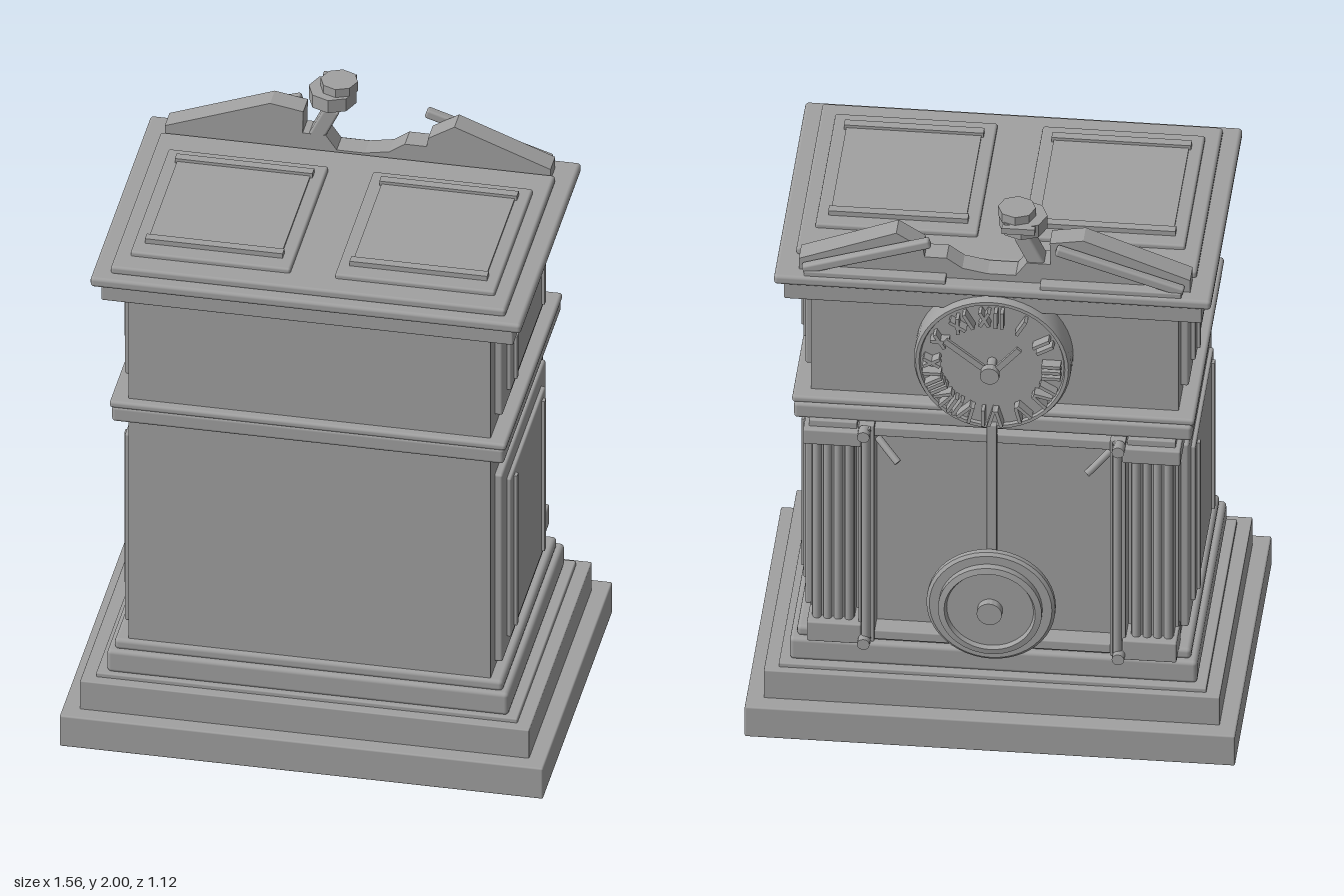
import * as THREE from 'three';
import { toCreasedNormals } from 'three/addons/utils/BufferGeometryUtils.js';
import { RoundedBoxGeometry } from 'three/addons/geometries/RoundedBoxGeometry.js';

export function createModel() {
  const root = new THREE.Group();
  root.name = 'mantelClock';
  const stone = new THREE.MeshStandardMaterial({ color: 0xa0a0a0 });
  stone.name = 'grey stone';

  const add = (name, geo, parent = root) => {
    const m = new THREE.Mesh(geo, stone);
    m.name = name;
    parent.add(m);
    return m;
  };
  const group = (name, parent = root) => {
    const g = new THREE.Group();
    g.name = name;
    parent.add(g);
    return g;
  };
  // Box from its limits, with softly rounded edges when r > 0
  const box = (name, [x0, x1], [y0, y1], [z0, z1], r = 0.005, parent = root) => {
    const s = [x1 - x0, y1 - y0, z1 - z0];
    const m = add(name, r ? new RoundedBoxGeometry(...s, 2, r) : new THREE.BoxGeometry(...s), parent);
    m.position.set((x0 + x1) / 2, (y0 + y1) / 2, (z0 + z1) / 2);
    return m;
  };
  // Cylinder between two points
  const rod = (name, a, b, r, sides = 12, parent = root) => {
    const p = new THREE.Vector3(...a), q = new THREE.Vector3(...b), d = q.clone().sub(p);
    const m = add(name, new THREE.CylinderGeometry(r, r, d.length(), sides), parent);
    m.position.copy(p).add(q).multiplyScalar(0.5);
    m.quaternion.setFromUnitVectors(new THREE.Vector3(0, 1, 0), d.normalize());
    return m;
  };
  // Round part turned about an axis pointing to -z; profile is [radius, distance out]
  const turned = (name, y, z, profile, parent = root) => {
    const pts = profile.map(([r, h]) => new THREE.Vector2(r, h));
    const m = add(name, toCreasedNormals(new THREE.LatheGeometry(pts, 48), 0.6), parent);
    m.rotation.x = -Math.PI / 2;
    m.position.set(0, y, z);
    return m;
  };

  // Stacked case: half width, y range, z range, edge radius
  const layers = [
    ['basePlinth', 0.78, [0, 0.115], [-0.548, 0.562], 0.006],
    ['baseStep', 0.725, [0.11, 0.22], [-0.49, 0.51], 0.004],
    ['baseFillet', 0.68, [0.21, 0.235], [-0.465, 0.475], 0.005],
    ['baseMoulding', 0.648, [0.232, 0.315], [-0.44, 0.462], 0.014],
    ['baseBead', 0.627, [0.31, 0.35], [-0.42, 0.446], 0.014],
    ['caseBody', 0.585, [0.34, 1.66], [-0.397, 0.432], 0.003],
    ['beltMoulding', 0.633, [1.178, 1.235], [-0.455, 0.46], 0.012],
    ['beltBead', 0.64, [1.23, 1.255], [-0.445, 0.462], 0.01],
    ['corniceFrieze', 0.665, [1.637, 1.705], [-0.455, 0.468], 0.006],
    ['cornice', 0.695, [1.7, 1.735], [-0.472, 0.496], 0.012],
    ['roofSlab', 0.637, [1.73, 1.76], [-0.345, 0.456], 0.01],
  ];
  for (const [name, w, y, z, r] of layers) box(name, [-w, w], y, z, r);

  // Raised panels on both sides of the case
  const span = (s, a, b) => (s > 0 ? [a, b] : [-b, -a]);
  for (const s of [-1, 1]) {
    for (const [label, y0, y1] of [['lower', 0.37, 1.075], ['upper', 1.3, 1.6]]) {
      const g = group(label + 'SidePanel');
      box('panelField', span(s, 0.575, 0.61), [y0, y1], [-0.325, 0.365], 0.008, g);
      box('panelRaised', span(s, 0.6, 0.624), [y0 + 0.053, y1 - 0.055], [-0.255, 0.297], 0.006, g);
      for (const z of [-0.2, 0.24])
        box('panelRib', span(s, 0.615, 0.634), [y0 + 0.07, y1 - 0.072], [z - 0.011, z + 0.011], 0, g);
    }
    // Roof panels
    const g = group('roofPanel');
    box('panelField', span(s, 0.072, 0.588), [1.75, 1.776], [-0.23, 0.382], 0.008, g);
    box('panelRaised', span(s, 0.115, 0.545), [1.77, 1.783], [-0.18, 0.325], 0, g);
    for (const z of [-0.165, 0.31])
      box('panelRib', span(s, 0.108, 0.552), [1.77, 1.793], [z - 0.015, z + 0.015], 0, g);
  }

  // Broken pediment
  const pediment = (name, pts) => {
    const shape = new THREE.Shape(pts.map(([x, y]) => new THREE.Vector2(x, y)));
    const m = add(name, new THREE.ExtrudeGeometry(shape, { depth: 0.075, bevelEnabled: false }));
    m.position.z = -0.425;
  };
  pediment('pedimentRight', [[-0.625, 1.73], [-0.07, 1.73], [-0.07, 1.76], [-0.105, 1.81],
    [-0.18, 1.81], [-0.178, 1.89], [-0.285, 1.908], [-0.625, 1.78]]);
  pediment('pedimentLeft', [[-0.08, 1.73], [0.62, 1.73], [0.62, 1.775], [0.31, 1.895],
    [0.225, 1.842], [0.22, 1.81], [0.15, 1.81], [0.1, 1.775], [0.02, 1.76], [-0.08, 1.76]]);
  for (const s of [-1, 1]) {
    const bar = add('pedimentRake', new RoundedBoxGeometry(0.425, 0.032, 0.03, 2, 0.008));
    bar.position.set(s * 0.403, 1.815, -0.443);
    bar.rotation.z = -s * 0.31;
    box('pedimentSill', span(s, 0.15, 0.6), [1.73, 1.752], [-0.462, -0.42], 0.005);
  }

  // Leaning finial
  const finial = group('finial');
  const post = add('finialPost', new RoundedBoxGeometry(0.05, 0.17, 0.07, 2, 0.008), finial);
  post.position.set(-0.122, 1.83, -0.385);
  post.rotation.z = -0.45;
  const cap = rod('finialCap', [-0.09, 1.923, -0.385], [-0.09, 1.97, -0.385], 0.077, 8, finial);
  cap.geometry = cap.geometry.toNonIndexed();
  cap.geometry.computeVertexNormals();
  const crown = rod('finialCrown', [-0.07, 1.965, -0.39], [-0.07, 2, -0.39], 0.06, 8, finial);
  crown.geometry = crown.geometry.toNonIndexed();
  crown.geometry.computeVertexNormals();
  box('finialPin', [-0.135, -0.03], [1.95, 1.972], [-0.472, -0.452], 0, finial);

  // Clock dial
  const cy = 1.445;
  const dial = group('dial');
  turned('dialDisc', cy, -0.39, [[0, 0], [0.25, 0], [0.25, 0.075], [0.243, 0.09], [0.232, 0.09],
    [0.228, 0.08], [0, 0.08]], dial);
  // Hour marks: each stroke is [sideways offset, tilt]
  const cross = x => [[x, 0.5], [x, -0.5]];
  const wedge = x => [[x - 0.012, 0.28], [x + 0.012, -0.28]];
  const bars = (...xs) => xs.map(x => [x, 0]);
  const hours = [
    [...cross(0.022), ...bars(-0.014, -0.034)], bars(0), bars(-0.012, 0.012), bars(-0.022, 0, 0.022),
    [...bars(0.03), ...wedge(-0.012)], wedge(0), [...wedge(0.012), ...bars(-0.026)],
    [...wedge(0.022), ...bars(-0.014, -0.034)], [...wedge(0.03), ...bars(-0.004, -0.022, -0.04)],
    [...bars(0.03), ...cross(-0.012)], cross(0), [...cross(0.014), ...bars(-0.026)],
  ];
  hours.forEach((strokes, i) => {
    const g = group('hourMark', dial);
    g.position.set(0, cy, -0.486);
    g.rotation.z = i * Math.PI / 6;
    for (const [x, tilt] of strokes) {
      const m = add('hourStroke', new THREE.BoxGeometry(0.011, 0.06, 0.04), g);
      m.position.set(x, 0.19, 0);
      m.rotation.z = tilt;
    }
  });
  // Hands and hub
  for (const [name, angle, length, z] of [['minuteHand', -0.9, 0.185, -0.522], ['hourHand', 0.72, 0.14, -0.532]]) {
    const g = group(name, dial);
    g.position.set(0, cy, z);
    g.rotation.z = angle;
    box('handBlade', [-0.01, 0.01], [-0.03, length], [-0.006, 0.006], 0, g);
  }
  turned('dialHub', cy + 0.01, -0.46, [[0, 0], [0.015, 0], [0.015, 0.07], [0.03, 0.07], [0.03, 0.097], [0, 0.097]], dial);

  // Corner columns with fluted shafts
  for (const s of [-1, 1]) {
    const g = group('column');
    box('columnCapital', span(s, 0.415, 0.6), [1.105, 1.162], [-0.492, -0.36], 0.006, g);
    box('columnNeck', span(s, 0.43, 0.583), [1.155, 1.185], [-0.47, -0.36], 0.004, g);
    box('columnFoot', span(s, 0.415, 0.588), [0.345, 0.42], [-0.492, -0.36], 0.006, g);
    box('columnCore', span(s, 0.44, 0.575), [0.41, 1.11], [-0.452, -0.36], 0, g);
    for (let i = 0; i < 4; i++) {
      const x = s * (0.457 + i * 0.034);
      rod('columnReed', [x, 0.41, -0.455], [x, 1.11, -0.455], 0.014, 12, g);
    }
    // Door frame post, knobs and corner pegs
    const d = group('doorSide');
    box('doorStile', span(s, 0.375, 0.425), [0.345, 1.18], [-0.475, -0.39], 0.004, d);
    rod('doorPost', [s * 0.4, 0.35, -0.488], [s * 0.4, 1.18, -0.488], 0.015, 12, d);
    for (const y of [0.365, 1.165]) {
      rod('doorKnob', [s * 0.405, y, -0.48], [s * 0.405, y, -0.522], 0.02, 12, d);
    }
    rod('cornerPeg', [s * 0.37, 1.1, -0.42], [s * 0.3, 1.04, -0.47], 0.012, 8, d);
  }
  box('doorTopRail', [-0.41, 0.41], [1.13, 1.165], [-0.46, -0.39], 0.005);
  box('doorBottomRail', [-0.41, 0.41], [0.345, 0.38], [-0.46, -0.39], 0.005);

  // Pendulum
  const pendulum = group('pendulum');
  box('pendulumRod', [-0.016, 0.016], [0.6, 1.22], [-0.49, -0.46], 0.004, pendulum);
  turned('pendulumBob', 0.54, -0.485, [[0, 0], [0.195, 0], [0.205, 0.01], [0.205, 0.028], [0.195, 0.036],
    [0.165, 0.036], [0.165, 0.06], [0.145, 0.064], [0.138, 0.05], [0.04, 0.05], [0.04, 0.078], [0, 0.078]], pendulum);
  return root;
}
